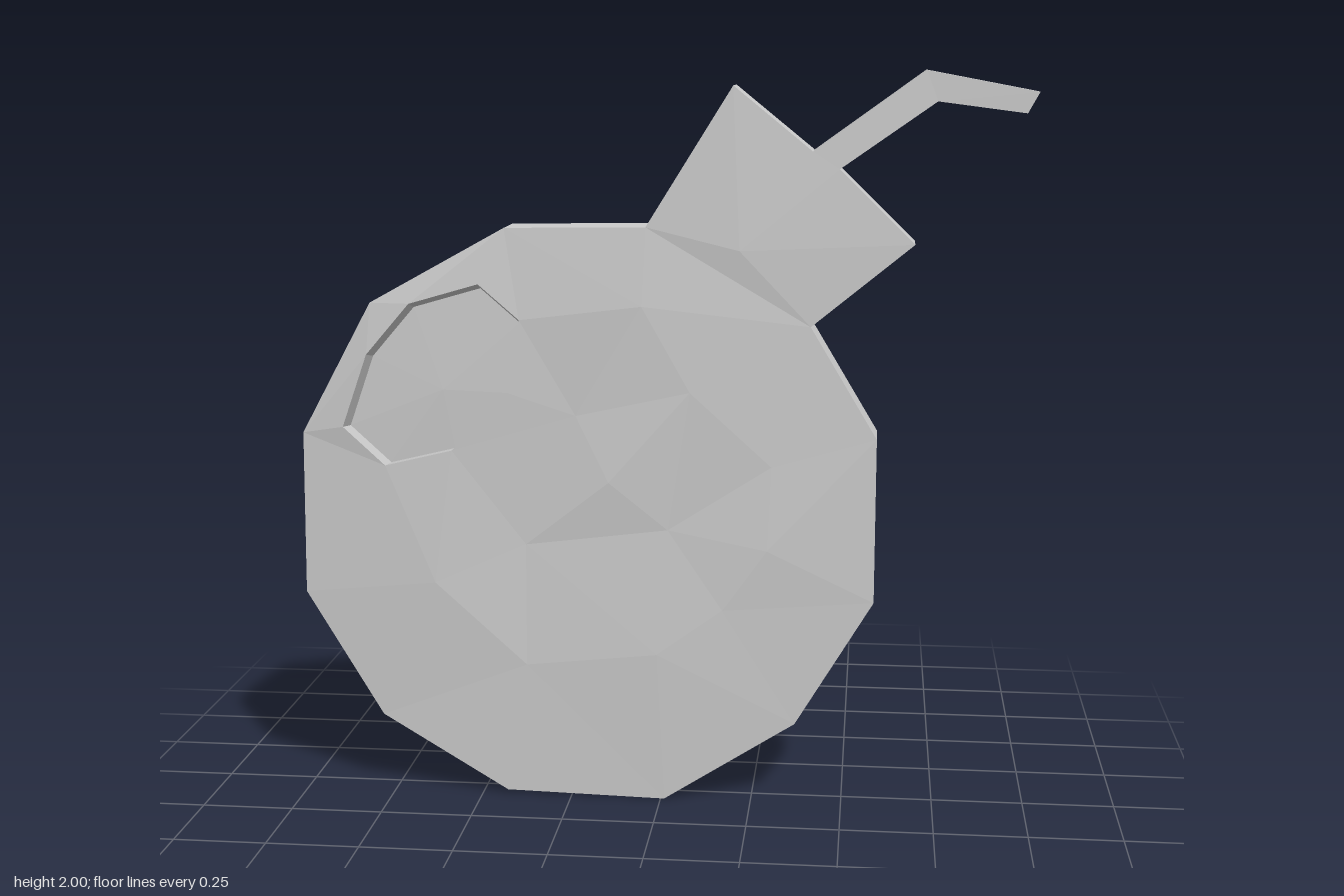
import * as THREE from 'three';

// Points are [x, y, frontZ, backZ]; outlines run counter-clockwise seen from the front.
const rim = (z, list) => list.map(([x, y]) => [x, y, z, -z]);

const discRim = rim(0.068, [
  [0.01, 0], [0.37, 0.23], [0.58, 0.58], [0.58, 1.03], [0.4, 1.33], [-0.04, 1.59],
  [-0.42, 1.585], [-0.79, 1.38], [-0.985, 1.02], [-0.99, 0.57], [-0.78, 0.22], [-0.43, 0.01],
]);
const eyeRim = rim(0.083, [
  [-0.49, 1.435], [-0.68, 1.38], [-0.8, 1.24], [-0.87, 1.04],
  [-0.755, 0.935], [-0.57, 0.98], [-0.41, 1.14], [-0.38, 1.34],
]);
// Uneven points that give the disc its hammered facets
const facets = [
  [-0.05, 1.38, 0.082, -0.075], [-0.23, 1.08, 0.072, -0.095], [-0.37, 0.72, 0.07, -0.078],
  [-0.14, 0.9, 0.084, -0.07], [0.02, 0.77, 0.074, -0.088], [0.29, 0.72, 0.084, -0.078],
  [-0.62, 0.61, 0.09, -0.088], [-0.37, 0.38, 0.078, -0.08], [-0.01, 0.42, 0.084, -0.077],
  [0.17, 0.55, 0.08, -0.086], [0.3, 0.95, 0.076, -0.08], [0.08, 1.15, 0.082, -0.077],
];
const neckRim = rim(0.062, [
  [0.4, 1.33], [0.67, 1.55], [0.47, 1.745], [0.4, 1.79], [0.19, 1.96], [-0.04, 1.59],
]);
neckRim[0] = discRim[4];
neckRim[5] = discRim[5];
const fuseLower = [[0.47, 1.745, 0.062, -0.062], [0.72, 1.92, 0.05, -0.05], [0.95, 1.89, 0.047, -0.047]];
const fuseUpper = [[0.4, 1.79, 0.062, -0.062], [0.69, 2, 0.05, -0.05], [0.98, 1.945, 0.047, -0.047]];

const front = p => [p[0], p[1], p[2]];
const back = p => [p[0], p[1], p[3]];
const cross = (a, b, c) => (b[0] - a[0]) * (c[1] - a[1]) - (b[1] - a[1]) * (c[0] - a[0]);

// Collects triangles for one part
function builder() {
  const pos = [];
  const tri = (a, b, c) => pos.push(...a, ...b, ...c);
  const quad = (a, b, c, d) => { tri(a, b, c); tri(a, c, d); };
  return {
    tri, quad,
    // The same patch on the front and the back
    both(a, b, c) {
      tri(front(a), front(b), front(c));
      tri(back(a), back(c), back(b));
    },
    // Edge wall joining front and back
    wall: (a, b) => quad(front(a), back(a), back(b), front(b)),
    mesh(name) {
      const g = new THREE.BufferGeometry();
      g.setAttribute('position', new THREE.Float32BufferAttribute(pos, 3));
      g.computeVertexNormals();
      const m = new THREE.Mesh(g, new THREE.MeshStandardMaterial({ color: 0xcccccc, flatShading: true }));
      m.name = name;
      return m;
    },
  };
}

// Triangles whose circumscribed circle holds no other point
function delaunay(pts) {
  const out = [];
  const inCircle = (a, b, c, d) => {
    const [r, s, t] = [a, b, c].map(p => {
      const x = p[0] - d[0], y = p[1] - d[1];
      return [x, y, x * x + y * y];
    });
    return r[0] * (s[1] * t[2] - s[2] * t[1]) - r[1] * (s[0] * t[2] - s[2] * t[0])
      + r[2] * (s[0] * t[1] - s[1] * t[0]) > 1e-9;
  };
  for (let i = 0; i < pts.length; i++)
    for (let j = i + 1; j < pts.length; j++)
      for (let k = j + 1; k < pts.length; k++) {
        let [a, b, c] = [pts[i], pts[j], pts[k]];
        const area = cross(a, b, c);
        if (Math.abs(area) < 1e-6) continue;
        if (area < 0) [b, c] = [c, b];
        if (!pts.some(d => d !== a && d !== b && d !== c && inCircle(a, b, c, d))) out.push([a, b, c]);
      }
  return out;
}

// Faceted round body, open where the eye sinks in
function makeDisc() {
  const s = builder();
  for (const t of delaunay([...discRim, ...eyeRim, ...facets]))
    if (!t.every(p => eyeRim.includes(p))) s.both(...t);
  discRim.forEach((p, i) => { if (i !== 4) s.wall(p, discRim[(i + 1) % discRim.length]); });
  return s.mesh('body');
}

// Shallow eye recess on both faces
function makeEye() {
  const s = builder();
  const centre = [-0.6, 1.14, 0.036, -0.036];
  const floor = eyeRim.map(([x, y]) => [
    centre[0] + (x - centre[0]) * 0.97, centre[1] + (y - centre[1]) * 0.97 - 0.008, 0.028, -0.028,
  ]);
  eyeRim.forEach((p, i) => {
    const j = (i + 1) % eyeRim.length, q = eyeRim[j];
    s.quad(front(p), front(q), front(floor[j]), front(floor[i]));
    s.quad(back(q), back(p), back(floor[i]), back(floor[j]));
    s.both(centre, floor[i], floor[j]);
  });
  return s.mesh('eyeRecess');
}

// Square neck that holds the fuse
function makeNeck() {
  const s = builder();
  const centre = [0.21, 1.53, 0.076, -0.072];
  neckRim.forEach((p, i) => {
    const q = neckRim[(i + 1) % neckRim.length];
    s.both(centre, p, q);
    if (i !== 2 && i !== 5) s.wall(p, q);
  });
  return s.mesh('neck');
}

// Bent, tapering fuse
function makeFuse() {
  const s = builder();
  for (let i = 0; i < 2; i++) {
    const [a, b, c, d] = [fuseLower[i], fuseLower[i + 1], fuseUpper[i + 1], fuseUpper[i]];
    s.both(a, b, c);
    s.both(a, c, d);
    s.wall(a, b);
    s.wall(c, d);
  }
  s.wall(fuseLower[2], fuseUpper[2]);
  return s.mesh('fuse');
}

export function createModel() {
  const group = new THREE.Group();
  group.name = 'flatBomb';
  group.add(makeDisc(), makeEye(), makeNeck(), makeFuse());
  return group;
}
